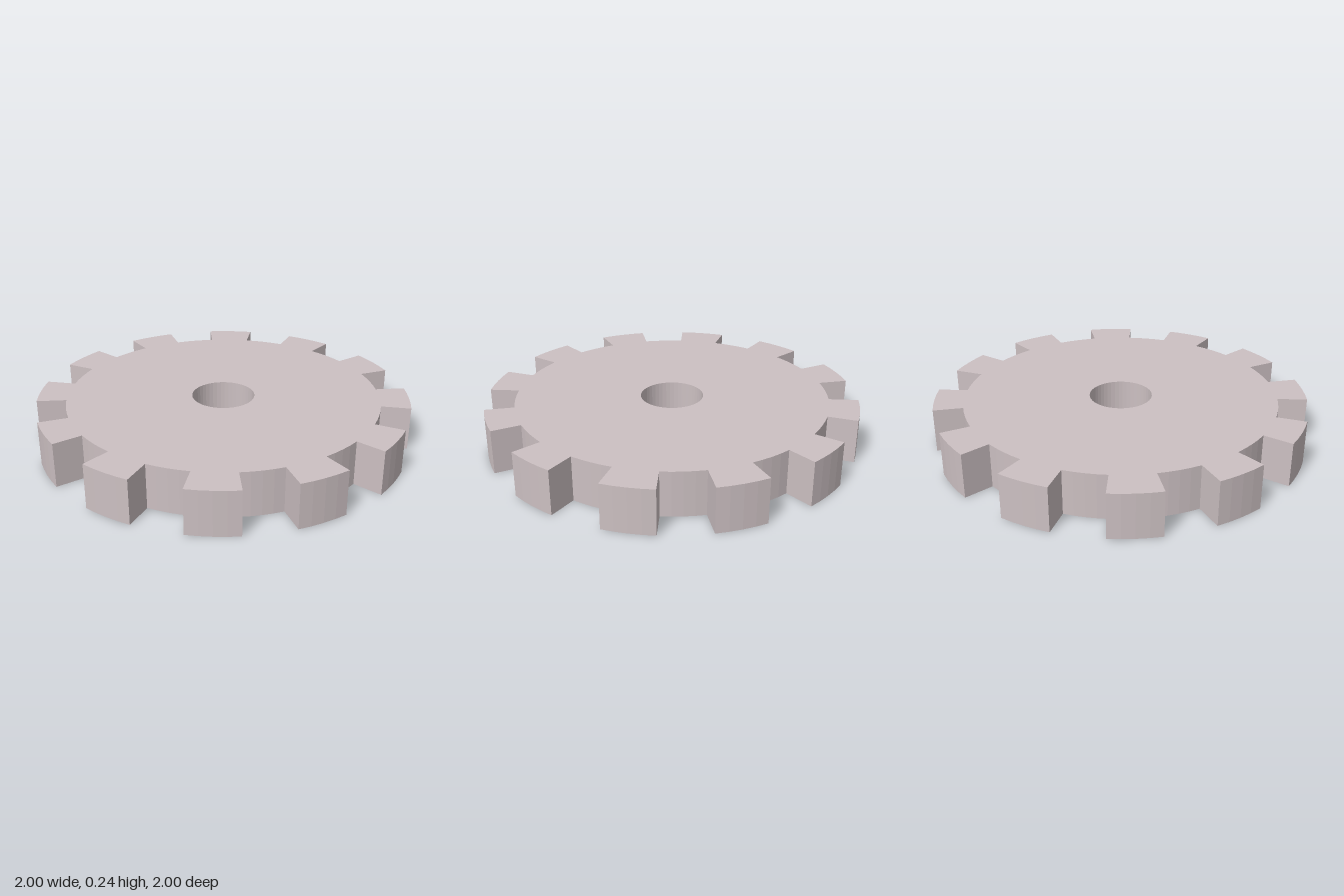
import * as THREE from 'three';

const TEETH = 12;
const TIP_RADIUS = 1.0086;
const ROOT_RADIUS = 0.85;
const BORE_RADIUS = 0.17;
const THICKNESS = 0.24;
const ARC_STEPS = 4;

// Gear outline: equal arcs that alternate between root and tip radius.
function gearOutline() {
  const shape = new THREE.Shape();
  const span = Math.PI / TEETH;
  const points = [];
  for (let i = 0; i < TEETH * 2; i++) {
    const radius = i % 2 === 0 ? ROOT_RADIUS : TIP_RADIUS;
    for (let s = 0; s <= ARC_STEPS; s++) {
      const a = (i - 0.5 + s / ARC_STEPS) * span;
      points.push(new THREE.Vector2(radius * Math.cos(a), radius * Math.sin(a)));
    }
  }
  return shape.setFromPoints(points);
}

export function createModel() {
  const group = new THREE.Group();
  group.name = 'gear';

  // Outline with the round shaft bore cut through the middle
  const shape = gearOutline();
  const bore = new THREE.Path();
  bore.absarc(0, 0, BORE_RADIUS, 0, Math.PI * 2, true);
  shape.holes.push(bore);

  const geometry = new THREE.ExtrudeGeometry(shape, {
    depth: THICKNESS,
    bevelEnabled: false,
    curveSegments: 24,
  });
  geometry.rotateX(-Math.PI / 2); // lay flat, underside on y = 0

  const material = new THREE.MeshStandardMaterial({ color: 0xccc0c2, flatShading: true });
  const wheel = new THREE.Mesh(geometry, material);
  wheel.name = 'toothedWheel';
  group.add(wheel);
  return group;
}
